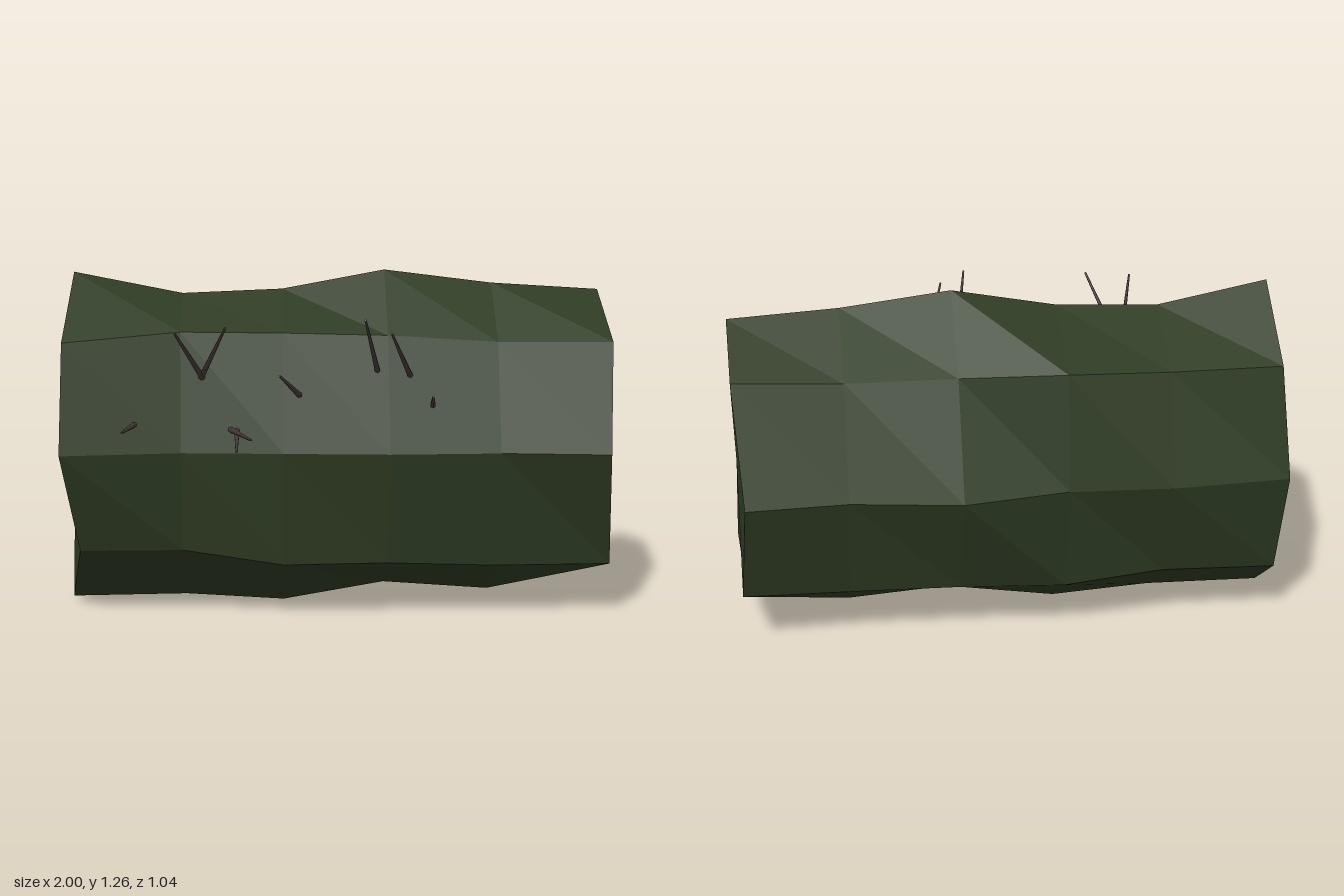
import * as THREE from 'three';

const leafGreen = new THREE.MeshStandardMaterial({ color: 0x2e3b23 });
const thornBrown = new THREE.MeshStandardMaterial({ color: 0x463b39 });
leafGreen.name = 'leafGreen';
thornBrown.name = 'thornBrown';

// Lengthwise edges of the eight-sided trunk, going round from the top over the front.
// x: both ends, y and z: one value per cross-section, or one for all.
const innerX = [-0.57, -0.2, 0.18, 0.58];
const rails = [
  { x: [-0.97, 0.98], y: [1.26, 1.18, 1.195, 1.265, 1.215, 1.19], z: -0.06 },
  { x: [-0.99, 0.99], y: [1.03, 1.06, 1.055, 1.045, 1.02, 1.025], z: [0.25, 0.18, 0.18, 0.18, 0.185, 0.24] },
  { x: [-1.0, 0.97], y: 0.635, z: [0.33, 0.28, 0.31, 0.34, 0.33, 0.375] },
  { x: [-0.945, 1.0], y: [0.26, 0.26, 0.21, 0.215, 0.2, 0.2], z: [0.2, 0.2, 0.24, 0.24, 0.23, 0.22] },
  { x: [-1.0, 0.97], y: [0.025, 0.03, 0.005, 0.07, 0.04, 0.115], z: -0.06 },
  { x: [-0.99, 0.97], y: [0.23, 0.24, 0.215, 0.22, 0.22, 0.24], z: [-0.34, -0.34, -0.37, -0.35, -0.34, -0.37] },
  { x: [-1.0, 0.94], y: 0.635, z: [-0.44, -0.47, -0.455, -0.52, -0.465, -0.485] },
  { x: [-0.97, 0.97], y: [1.04, 1.03, 1.05, 1.03, 1.03, 1.045], z: [-0.36, -0.345, -0.38, -0.32, -0.32, -0.31] },
];

function buildTrunk() {
  const at = (v, i) => (Array.isArray(v) ? v[i] : v);
  const point = (i, j) => {
    const r = rails[j % rails.length];
    return [[r.x[0], ...innerX, r.x[1]][i], at(r.y, i), at(r.z, i)];
  };
  const positions = [];
  const tri = (a, b, c) => positions.push(...a, ...b, ...c);
  for (let j = 0; j < rails.length; j++) {
    // side panels
    for (let i = 0; i < 5; i++) {
      const a = point(i, j), b = point(i + 1, j), c = point(i + 1, j + 1), d = point(i, j + 1);
      tri(a, d, c);
      tri(a, c, b);
    }
    // end caps
    tri([-0.98, 0.635, -0.06], point(0, j + 1), point(0, j));
    tri([0.975, 0.635, -0.06], point(5, j), point(5, j + 1));
  }
  const geometry = new THREE.BufferGeometry();
  geometry.setAttribute('position', new THREE.Float32BufferAttribute(positions, 3));
  geometry.computeVertexNormals(); // unshared corners give flat facets
  const mesh = new THREE.Mesh(geometry, leafGreen);
  mesh.name = 'trunk';
  return mesh;
}

// Thorns: tip x, y and base x, y, z; every tip ends at z = 0.52
const thorns = [
  [-0.76, 0.75, -0.735, 0.738, 0.27],
  [-0.575, 1.095, -0.49, 0.9, 0.22],
  [-0.4, 1.11, -0.495, 0.9, 0.22],
  [-0.365, 0.68, -0.368, 0.715, 0.27],
  [-0.315, 0.722, -0.39, 0.718, 0.27],
  [-0.215, 0.945, -0.14, 0.835, 0.24],
  [0.08, 1.135, 0.14, 0.92, 0.22],
  [0.17, 1.09, 0.26, 0.9, 0.22],
  [0.315, 0.868, 0.338, 0.8, 0.26],
];

function buildThorn([tx, ty, bx, by, bz]) {
  const tip = new THREE.Vector3(tx, ty, 0.52);
  const base = new THREE.Vector3(bx, by, bz);
  const axis = tip.clone().sub(base);
  const mesh = new THREE.Mesh(new THREE.CylinderGeometry(0.004, 0.011, axis.length(), 6), thornBrown);
  mesh.position.copy(base).add(tip).multiplyScalar(0.5);
  mesh.quaternion.setFromUnitVectors(new THREE.Vector3(0, 1, 0), axis.normalize());
  mesh.name = 'thorn';
  return mesh;
}

export function createModel() {
  const model = new THREE.Group();
  model.name = 'thornyTrunk';
  const thornGroup = new THREE.Group();
  thornGroup.name = 'thorns';
  thorns.forEach((t) => thornGroup.add(buildThorn(t)));
  model.add(buildTrunk(), thornGroup);
  return model;
}
